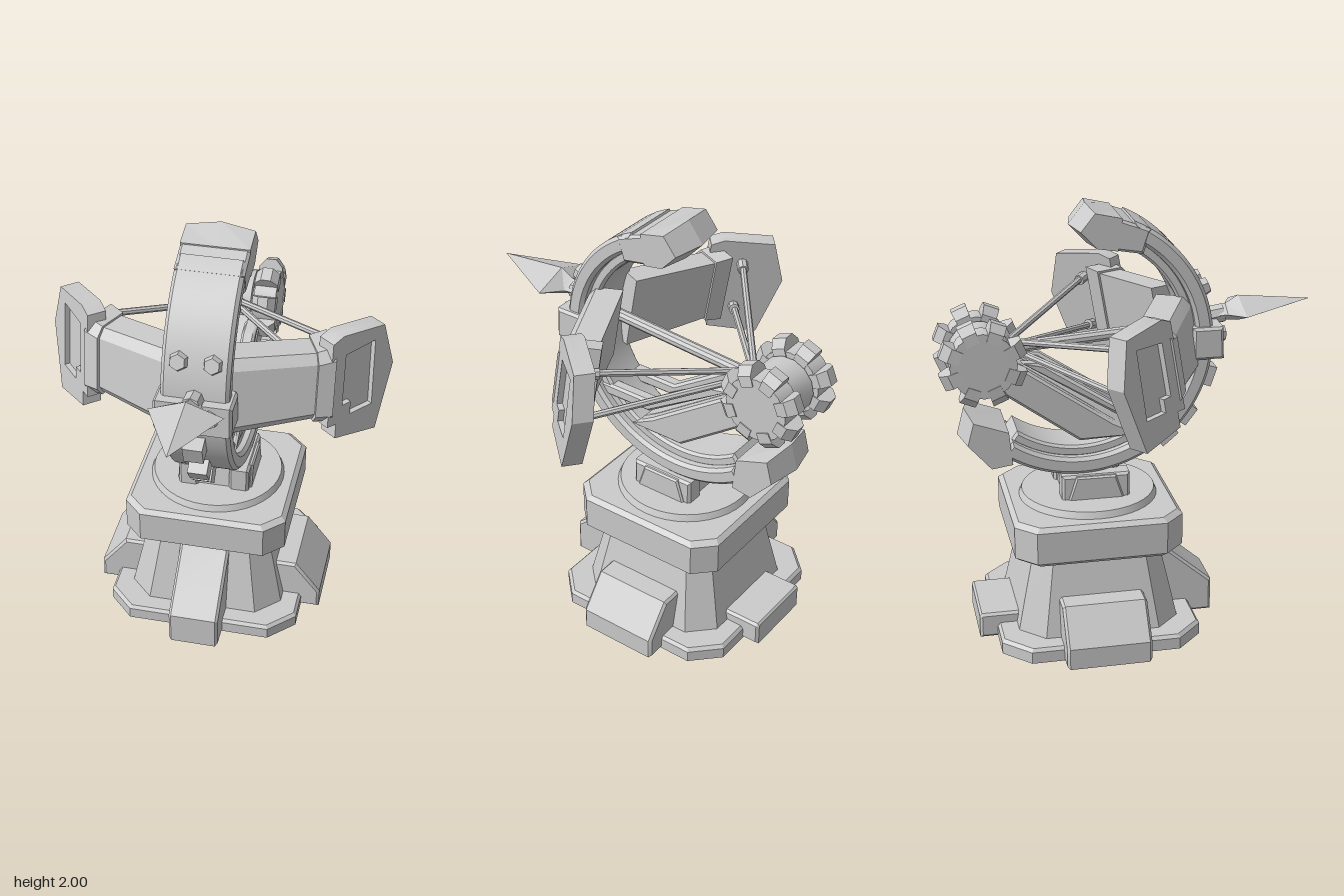
import * as THREE from 'three';
import { toCreasedNormals } from 'three/addons/utils/BufferGeometryUtils.js';

const material = new THREE.MeshStandardMaterial({ color: 0xcccccc });
const LEAN = -0.17;          // backward lean of the bow
const RY = 1.38, RZ = -0.24; // centre of the big ring (y, z)
const BX = -0.013, BZ = -0.19; // centre of the base

// Adds a mesh with crisp edges and smooth curves
function add(parent, name, geometry, crease = 0.5) {
  const mesh = new THREE.Mesh(toCreasedNormals(geometry, crease), material);
  mesh.name = name;
  parent.add(mesh);
  return mesh;
}

// Skins a row of convex loops and closes both ends
function loft(loops) {
  const n = loops[0].length, index = [];
  for (let k = 0; k < loops.length - 1; k++) {
    for (let i = 0; i < n; i++) {
      const a = k * n + i, b = k * n + (i + 1) % n;
      index.push(a, b, b + n, a, b + n, a + n);
    }
  }
  const e = (loops.length - 1) * n;
  for (let i = 1; i < n - 1; i++) index.push(0, i + 1, i, e, e + i, e + i + 1);
  const g = new THREE.BufferGeometry();
  g.setAttribute('position', new THREE.Float32BufferAttribute(loops.flat(2), 3));
  g.setIndex(index);
  g.computeVertexNormals();
  return g;
}

// Square with cut corners, stacked by [y, half width, corner cut]
function stack(levels) {
  return loft(levels.map(([y, h, c]) => [
    [h, -h + c], [h - c, -h], [-h + c, -h], [-h, -h + c],
    [-h, h - c], [-h + c, h], [h - c, h], [h, h - c],
  ].map(([x, z]) => [BX + x, y, BZ + z])));
}

const shapeOf = (pts) => new THREE.Shape(pts.map(([a, b]) => new THREE.Vector2(a, b)));

// Extrudes a (z, y) outline across x, with a small bevel
function across(shape, width, x = 0, bevel = 0.012) {
  const g = new THREE.ExtrudeGeometry(shape, {
    depth: width - 2 * bevel, curveSegments: 48, bevelEnabled: bevel > 0,
    bevelThickness: bevel, bevelSize: bevel, bevelOffset: -bevel, bevelSegments: 1,
  });
  return g.translate(0, 0, bevel - width / 2).rotateY(-Math.PI / 2).translate(x, 0, 0);
}

// Ring end cap from a clockwise (z, y) outline, peaked along its middle
function peakedCap(pts) {
  const last = pts.length - 1;
  const root = [0, 1].map((k) => (pts[0][k] + pts[last][k]) / 2);
  return loft([[0.155, 0.15], [0, 0], [-0.155, 0.15]].map(([x, shrink]) => pts.map((p, i) => {
    const f = i === 0 || i === last ? 0 : shrink;
    return [x, p[1] + (root[1] - p[1]) * f, p[0] + (root[0] - p[0]) * f];
  })));
}

// Mirrors a geometry in x and keeps its faces outward
function mirrored(geometry) {
  const g = (geometry.index ? geometry.toNonIndexed() : geometry.clone()).scale(-1, 1, 1);
  const p = g.attributes.position, a = new THREE.Vector3(), b = new THREE.Vector3();
  for (let i = 0; i < p.count; i += 3) {
    a.fromBufferAttribute(p, i + 1);
    b.fromBufferAttribute(p, i + 2);
    p.setXYZ(i + 1, b.x, b.y, b.z);
    p.setXYZ(i + 2, a.x, a.y, a.z);
  }
  return g;
}

function addPair(parent, name, geometry) {
  add(parent, name + 'Left', geometry);
  add(parent, name + 'Right', mirrored(geometry));
}

// Round bar between two points
function bar(from, to, radius, sides = 8) {
  const a = new THREE.Vector3(...from), b = new THREE.Vector3(...to);
  const d = b.clone().sub(a);
  const g = new THREE.CylinderGeometry(radius, radius, d.length(), sides);
  g.applyQuaternion(new THREE.Quaternion().setFromUnitVectors(new THREE.Vector3(0, 1, 0), d.normalize()));
  return g.translate(...a.add(b).multiplyScalar(0.5).toArray());
}

function ringBand(outer, inner, width, bevel) {
  const start = THREE.MathUtils.degToRad(-126), end = THREE.MathUtils.degToRad(66);
  const s = new THREE.Shape();
  s.absarc(RZ, RY, outer, start, end, false);
  s.absarc(RZ, RY, inner, end, start, true);
  return across(s, width, 0, bevel);
}

function buildBase(parent) {
  const base = new THREE.Group();
  base.name = 'base';
  add(base, 'footSlab', stack([[0, 0.463, 0.12], [0.055, 0.463, 0.12], [0.07, 0.45, 0.115]]), 0.2);
  add(base, 'taperedBody', stack([[0.06, 0.375, 0.11], [0.2, 0.345, 0.1], [0.45, 0.29, 0.08]]), 0.2);
  add(base, 'collar', stack([[0.435, 0.365, 0.085], [0.455, 0.387, 0.09], [0.605, 0.387, 0.09], [0.625, 0.365, 0.085]]), 0.2);
  add(base, 'turntable', new THREE.CylinderGeometry(0.31, 0.325, 0.035, 40).translate(BX, 0.638, BZ));
  // Buttress feet
  add(base, 'frontFoot', across(shapeOf([[0.386, 0], [0.386, 0.16], [0.14, 0.37], [0.09, 0.43], [0, 0.43], [0, 0]]), 0.24, BX));
  add(base, 'rearFoot', across(shapeOf([[-0.735, 0], [-0.735, 0.11], [-0.725, 0.12], [-0.5, 0.12], [-0.5, 0]]), 0.36, BX));
  const foot = across(shapeOf([[0.552, 0], [0.552, 0.1], [0.43, 0.255], [0.2, 0.255], [0.2, 0]]), 0.39);
  for (const s of [1, -1]) {
    add(base, s > 0 ? 'leftFoot' : 'rightFoot', foot.clone().rotateY(s * Math.PI / 2).translate(BX, 0, BZ));
  }
  // Square cradle holding the ring
  for (const s of [1, -1]) {
    add(base, 'cradleCheek', across(shapeOf([[-0.02, 0.64], [-0.02, 0.77], [-0.335, 0.77], [-0.335, 0.64]]), 0.095, s * 0.122));
    add(base, 'cradlePad', across(shapeOf([[-0.045, 0.64], [-0.085, 0.765], [-0.27, 0.765], [-0.31, 0.64]]), 0.03, s * 0.165, 0.008));
  }
  add(base, 'cradleCore', across(shapeOf([[-0.035, 0.64], [-0.06, 0.79], [-0.3, 0.79], [-0.32, 0.64]]), 0.2));
  parent.add(base);
}

function buildRing(parent) {
  const ring = new THREE.Group();
  ring.name = 'ring';
  add(ring, 'ringBand', ringBand(0.61, 0.53, 0.305, 0.016));
  add(ring, 'ringInnerRib', ringBand(0.54, 0.485, 0.22, 0.012));
  add(ring, 'upperCap', peakedCap([[-0.05, 1.955], [-0.19, 2], [-0.265, 1.905], [-0.18, 1.815], [-0.07, 1.81]]), 0.1);
  add(ring, 'upperCapCollar', across(shapeOf([[0.08, 1.9], [-0.07, 1.955], [-0.1, 1.815], [0.045, 1.79]]), 0.31));
  add(ring, 'lowerCap', peakedCap([[-0.57, 1.0], [-0.757, 1.08], [-0.79, 0.955], [-0.667, 0.815], [-0.555, 0.845]]), 0.1);
  // Teeth on the lower front
  for (const deg of [-19, -37.5, -49.5]) {
    const a = THREE.MathUtils.degToRad(deg);
    add(ring, 'ringTooth', new THREE.BoxGeometry(0.09, 0.095, 0.1).rotateX(-a)
      .translate(0, RY + 0.63 * Math.sin(a), RZ + 0.63 * Math.cos(a)));
  }
  // Front block and bolts
  add(ring, 'frontBlock', across(shapeOf([[0.415, 1.29], [0.41, 1.44], [0.27, 1.44], [0.27, 1.29]]), 0.35));
  for (const s of [1, -1]) {
    for (const [y, z, tilt] of [[1.605, 0.335, -0.37], [1.38, 0.415, 0]]) {
      add(ring, 'bolt', new THREE.CylinderGeometry(0.036, 0.05, 0.05, 6)
        .rotateX(Math.PI / 2).rotateX(tilt).translate(s * 0.075, y, z));
    }
  }
  parent.add(ring);
}

function buildBow(parent) {
  const bow = new THREE.Group();
  bow.name = 'bow';
  // Arms and joints, each section given as [x, z, half height, half depth], cut square to the arm
  const section = ([x, z, h, t]) => [[h, t * 0.6], [h * 0.75, t], [-h * 0.75, t], [-h, t * 0.6], [-h, -t], [h, -t]]
    .map(([dy, dz]) => [x + dz * 0.45, 1.395 + dy, z + dz + LEAN * dy]);
  addPair(bow, 'arm', loft([[0.08, 0.225, 0.18, 0.07], [0.47, 0.048, 0.155, 0.07]].map(section)));
  addPair(bow, 'armJoint', loft([[0.46, 0.055, 0.165, 0.082], [0.53, 0.015, 0.175, 0.085]].map(section)));
  // Wing plates with a recessed slot
  const outline = [[0, 1.21], [0.05, 1.21], [0.05, 1.14], [0.295, 1.095], [0.372, 1.39], [0.3, 1.595], [0.06, 1.625], [0, 1.605]];
  const slot = [[0.08, 1.53], [0.25, 1.54], [0.26, 1.23], [0.13, 1.23], [0.13, 1.29], [0.08, 1.29]];
  const place = new THREE.Matrix4().makeBasis(
    new THREE.Vector3(0.645, 0, -0.765), new THREE.Vector3(0, 1, LEAN), new THREE.Vector3(0.765, 0, 0.645),
  ).setPosition(0.55, 0, 0.11 - LEAN * 1.39);
  const plate = (shape, depth, back) => new THREE.ExtrudeGeometry(shape, { depth, bevelEnabled: false })
    .translate(0, 0, back).applyMatrix4(place);
  const frame = shapeOf(outline);
  frame.holes.push(new THREE.Path(slot.map(([a, b]) => new THREE.Vector2(a, b))));
  addPair(bow, 'wingPlate', plate(shapeOf(outline), 0.065, -0.09));
  addPair(bow, 'wingFrame', plate(frame, 0.025, -0.025));
  // Strings running back to the winch, with a knob on each wing
  for (const [y, dy] of [[1.5, 0.015], [1.25, -0.015]]) {
    const z = -0.07 + LEAN * (y - 1.39);
    addPair(bow, 'string', bar([0.59, y, z], [0.01, 1.37 + dy, -0.54], 0.016));
    addPair(bow, 'stringKnob', bar([0.6, y, z + 0.01], [0.545, y - dy * 0.8, z - 0.035], 0.026));
  }
  add(bow, 'shaft', bar([0, 1.35, -0.56], [0, 1.41, 0.26], 0.028, 10));
  // Spear head
  const diamond = (z, y, w, h) => [[w, y, z], [0, y + h, z], [-w, y, z], [0, y - h, z]];
  add(bow, 'spearHead', loft([
    diamond(0.42, 1.455, 0.045, 0.035), diamond(0.46, 1.46, 0.06, 0.04),
    diamond(0.52, 1.475, 0.165, 0.06), diamond(0.858, 1.5, 0.001, 0.001),
  ]), 0.2);
  add(bow, 'spearNeck', bar([0, 1.44, 0.36], [0, 1.455, 0.45], 0.045, 8));
  parent.add(bow);
}

function buildWinch(parent) {
  const winch = new THREE.Group();
  winch.name = 'winch';
  const Y = 1.33, Z = -0.675;
  // Stock carrying the winch
  const rail = [[-0.4, 1.3], [-0.08, 1.09], [0.24, 1.09], [0.21, 1.03], [-0.06, 1.03], [-0.5, 1.31]];
  const stock = [[-0.5, 1.29], [-0.08, 1.0], [0.04, 0.93], [-0.24, 0.92], [-0.63, 1.2], [-0.6, 1.32]];
  for (const s of [1, -1]) {
    add(winch, 'stockRail', across(shapeOf(rail), 0.065, s * 0.085));
    add(winch, 'stockSide', across(shapeOf(stock), 0.065, s * 0.085));
  }
  add(winch, 'stockCore', across(shapeOf(stock), 0.14));
  // Axle and two toothed wheels
  add(winch, 'axle', new THREE.CylinderGeometry(0.135, 0.135, 0.13, 14).rotateZ(Math.PI / 2).translate(0, Y, Z));
  add(winch, 'axleCore', new THREE.CylinderGeometry(0.09, 0.09, 0.28, 14).rotateZ(Math.PI / 2).translate(0, Y, Z));
  for (const s of [1, -1]) {
    const wheel = new THREE.Group();
    wheel.name = s > 0 ? 'leftWheel' : 'rightWheel';
    wheel.position.set(s * 0.132, Y, Z);
    add(wheel, 'wheelDisc', new THREE.CylinderGeometry(0.15, 0.15, 0.105, 16).rotateZ(Math.PI / 2));
    for (let i = 0; i < 8; i++) {
      const a = (i + 0.5) * Math.PI / 4;
      const tooth = loft([[0.11, 0.058, 0.03], [0.16, 0.056, 0.034], [0.197, 0.024, 0.037]]
        .map(([y, w, d]) => [[w, y, -d], [-w, y, -d], [-w, y, d], [w, y, d]]));
      add(wheel, 'wheelTooth', tooth.rotateX(a), 0.2);
    }
    winch.add(wheel);
  }
  parent.add(winch);
}

export function createModel() {
  const model = new THREE.Group();
  model.name = 'ringCrossbowTurret';
  buildBase(model);
  buildRing(model);
  buildBow(model);
  buildWinch(model);
  return model;
}
